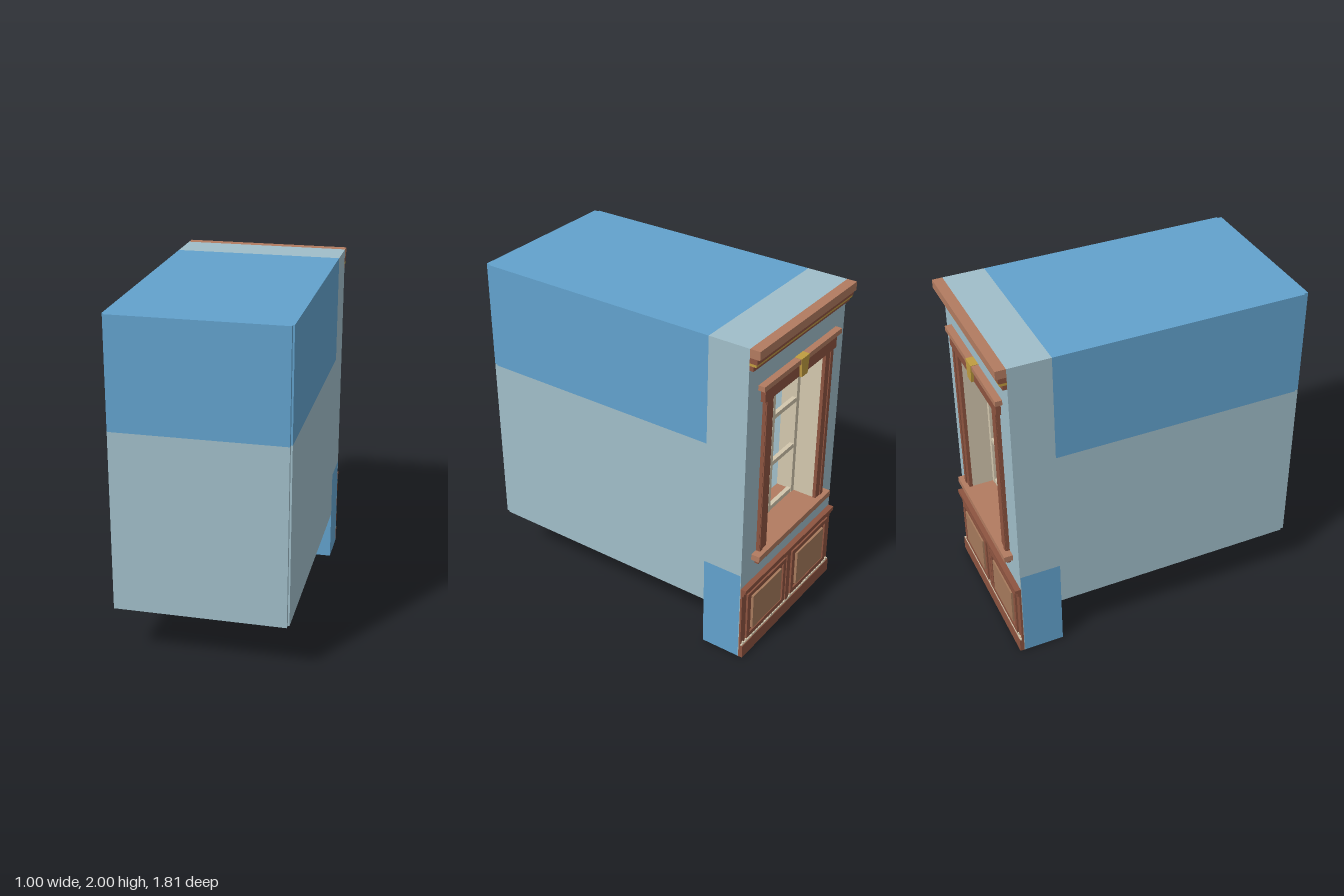
import * as THREE from 'three';

const mat = (name, color) => {
  const m = new THREE.MeshStandardMaterial({ color });
  m.name = name;
  return m;
};

export function createModel() {
  const wall = mat('pale blue wall', 0xa0bec9);
  const sky = mat('sky blue', 0x62a2cd);
  const wood = mat('dark wood', 0x8d5440);
  const lightWood = mat('light wood', 0xb27b60);
  const panelWood = mat('panel wood', 0xa67a5c);
  const cream = mat('cream paint', 0xd3c7ae);
  const gold = mat('gold', 0xc09c40);
  const grass = mat('grass green', 0x3f9a48);
  const stone = mat('house plaster', 0xbdb1a3);

  const root = new THREE.Group();
  const group = (name) => {
    const g = new THREE.Group();
    g.name = name;
    root.add(g);
    return g;
  };
  // Box given by its limits on each axis
  const box = (parent, name, m, x0, x1, y0, y1, z0, z1) => {
    const mesh = new THREE.Mesh(new THREE.BoxGeometry(x1 - x0, y1 - y0, z1 - z0), m);
    mesh.position.set((x0 + x1) / 2, (y0 + y1) / 2, (z0 + z1) / 2);
    mesh.name = name;
    parent.add(mesh);
    return mesh;
  };
  const FACE = -0.845;
  // Trim strip on the window face, centred on x, standing out by depth
  const trim = (parent, name, m, halfW, y0, y1, depth) =>
    box(parent, name, m, -halfW, halfW, y0, y1, FACE - depth, FACE);

  // Window wall with its opening
  const wallGroup = group('windowWall');
  const outline = new THREE.Shape();
  outline.moveTo(-0.5, 0.58).lineTo(0.5, 0.58).lineTo(0.5, 2).lineTo(-0.5, 2).closePath();
  const hole = new THREE.Path();
  hole.moveTo(-0.29, 0.66).lineTo(-0.29, 1.64).lineTo(0.29, 1.64).lineTo(0.29, 0.66).closePath();
  outline.holes.push(hole);
  const upper = new THREE.Mesh(
    new THREE.ExtrudeGeometry(outline, { depth: 0.245, bevelEnabled: false }), wall);
  upper.position.z = FACE;
  upper.name = 'upperWall';
  wallGroup.add(upper);
  box(wallGroup, 'lowerWall', sky, -0.5, 0.5, 0, 0.58, FACE + 0.004, -0.6);
  box(wallGroup, 'lowerWallFace', wall, -0.5, 0.5, 0, 0.58, FACE, FACE + 0.004);

  // Diorama box: sides, far panel, ceiling and ground
  const room = group('dioramaBox');
  for (const [name, m, y0, y1] of [['Lower', wall, 0.305, 1.36], ['Upper', sky, 1.36, 2]]) {
    for (const s of [-1, 1]) {
      const x = s * 0.495;
      box(room, 'side' + name, m, x - 0.005, x + 0.005, y0, y1, -0.6, 0.88);
    }
    box(room, 'farPanel' + name, m, -0.49, 0.49, y0, y1, 0.88, 0.905);
  }
  box(room, 'ceiling', sky, -0.49, 0.49, 1.985, 2, -0.6, 0.88);
  box(room, 'ground', grass, -0.49, 0.49, 0.307, 0.32, -0.6, 0.88);

  // Small gabled houses on the grass
  const houses = group('houses');
  const gable = new THREE.Shape();
  gable.moveTo(-0.1, 0).lineTo(0.1, 0).lineTo(0, 0.13).closePath();
  const roofGeo = new THREE.ExtrudeGeometry(gable, { depth: 0.18, bevelEnabled: false });
  roofGeo.translate(0, 0, -0.09);
  for (const s of [-1, 1]) {
    for (const [x, z, m] of [[0.38, -0.22, lightWood], [0.38, 0.12, gold]]) {
      box(houses, 'houseBody', stone, s * x - 0.075, s * x + 0.075, 0.32, 0.61, z - 0.075, z + 0.075);
      const roof = new THREE.Mesh(roofGeo, m);
      roof.position.set(s * x, 0.61, z);
      roof.name = 'houseRoof';
      houses.add(roof);
    }
  }

  // Cornice
  const cornice = group('cornice');
  trim(cornice, 'corniceCrown', lightWood, 0.5, 1.95, 2, 0.06);
  trim(cornice, 'corniceMiddle', wood, 0.5, 1.92, 1.95, 0.045);
  trim(cornice, 'corniceGoldBead', gold, 0.5, 1.905, 1.92, 0.04);
  trim(cornice, 'corniceLower', wood, 0.5, 1.878, 1.905, 0.025);

  // Window casing, header, keystone and sill
  const casing = group('windowCasing');
  for (const s of [-1, 1]) {
    const x = s * 0.315;
    box(casing, 'sideCasing', wood, x - 0.038, x + 0.038, 0.67, 1.65, FACE - 0.02, FACE);
    box(casing, 'casingEdge', wood, x + s * 0.022 - 0.014, x + s * 0.022 + 0.014,
      0.67, 1.65, FACE - 0.026, FACE);
  }
  trim(casing, 'header', wood, 0.375, 1.64, 1.72, 0.028);
  trim(casing, 'headerCap', lightWood, 0.405, 1.72, 1.75, 0.04);
  const key = new THREE.Shape();
  key.moveTo(-0.03, 1.64).lineTo(0.03, 1.64).lineTo(0.042, 1.752).lineTo(-0.042, 1.752).closePath();
  const keystone = new THREE.Mesh(
    new THREE.ExtrudeGeometry(key, { depth: 0.044, bevelEnabled: false }), gold);
  keystone.position.z = FACE - 0.044;
  keystone.name = 'keystone';
  casing.add(keystone);
  trim(casing, 'sill', lightWood, 0.4, 0.635, 0.672, 0.052);
  trim(casing, 'apron', wood, 0.36, 0.588, 0.635, 0.022);

  // Reveal lining and inner stool
  const lining = group('windowLining');
  for (const s of [-1, 1]) {
    const x = s * 0.285;
    box(lining, 'jamb', cream, x - 0.005, x + 0.005, 0.66, 1.64, FACE, -0.6);
  }
  box(lining, 'headLining', cream, -0.28, 0.28, 1.63, 1.64, FACE, -0.6);
  box(lining, 'stool', lightWood, -0.28, 0.28, 0.66, 0.672, FACE, -0.6);

  // Sash: two columns by three rows
  const sash = group('sash');
  const Z0 = -0.715, Z1 = -0.685;
  for (const x of [-0.265, 0, 0.265]) {
    const h = x ? 0.016 : 0.012;
    box(sash, 'uprightBar', cream, x - h, x + h, 0.672, 1.63, Z0, Z1);
  }
  for (const y of [0.69, 1.0, 1.31, 1.612]) {
    box(sash, 'crossBar', cream, -0.265, 0.265, y - 0.014, y + 0.014, Z0 + 0.002, Z1 - 0.002);
  }

  // Panelled wainscot
  const wainscot = group('wainscot');
  trim(wainscot, 'backing', wood, 0.5, 0, 0.46, 0.012);
  trim(wainscot, 'chairRailCap', wood, 0.5, 0.465, 0.49, 0.034);
  trim(wainscot, 'chairRailLower', wood, 0.5, 0.442, 0.465, 0.022);
  trim(wainscot, 'baseboard', wood, 0.5, 0, 0.085, 0.026);
  trim(wainscot, 'baseboardBead', cream, 0.5, 0.085, 0.094, 0.022);
  trim(wainscot, 'centreStile', wood, 0.018, 0.094, 0.442, 0.02);
  for (const c of [-0.245, 0.245]) {
    // Moulding frame round a raised panel
    for (const s of [-1, 1]) {
      const x = c + s * 0.195, y = 0.27 + s * 0.145;
      box(wainscot, 'frameUpright', wood, x - 0.014, x + 0.014, 0.111, 0.429, FACE - 0.024, FACE);
      box(wainscot, 'frameRail', wood, c - 0.195, c + 0.195, y - 0.014, y + 0.014, FACE - 0.024, FACE);
    }
    box(wainscot, 'raisedPanel', panelWood, c - 0.155, c + 0.155, 0.155, 0.385, FACE - 0.028, FACE);
  }
  // Row of small beads above the baseboard
  for (let i = 0; i < 32; i++) {
    const x = -0.4805 + i * 0.031;
    box(wainscot, 'bead', cream, x - 0.006, x + 0.006, 0.094, 0.103, FACE - 0.02, FACE);
  }
  return root;
}
